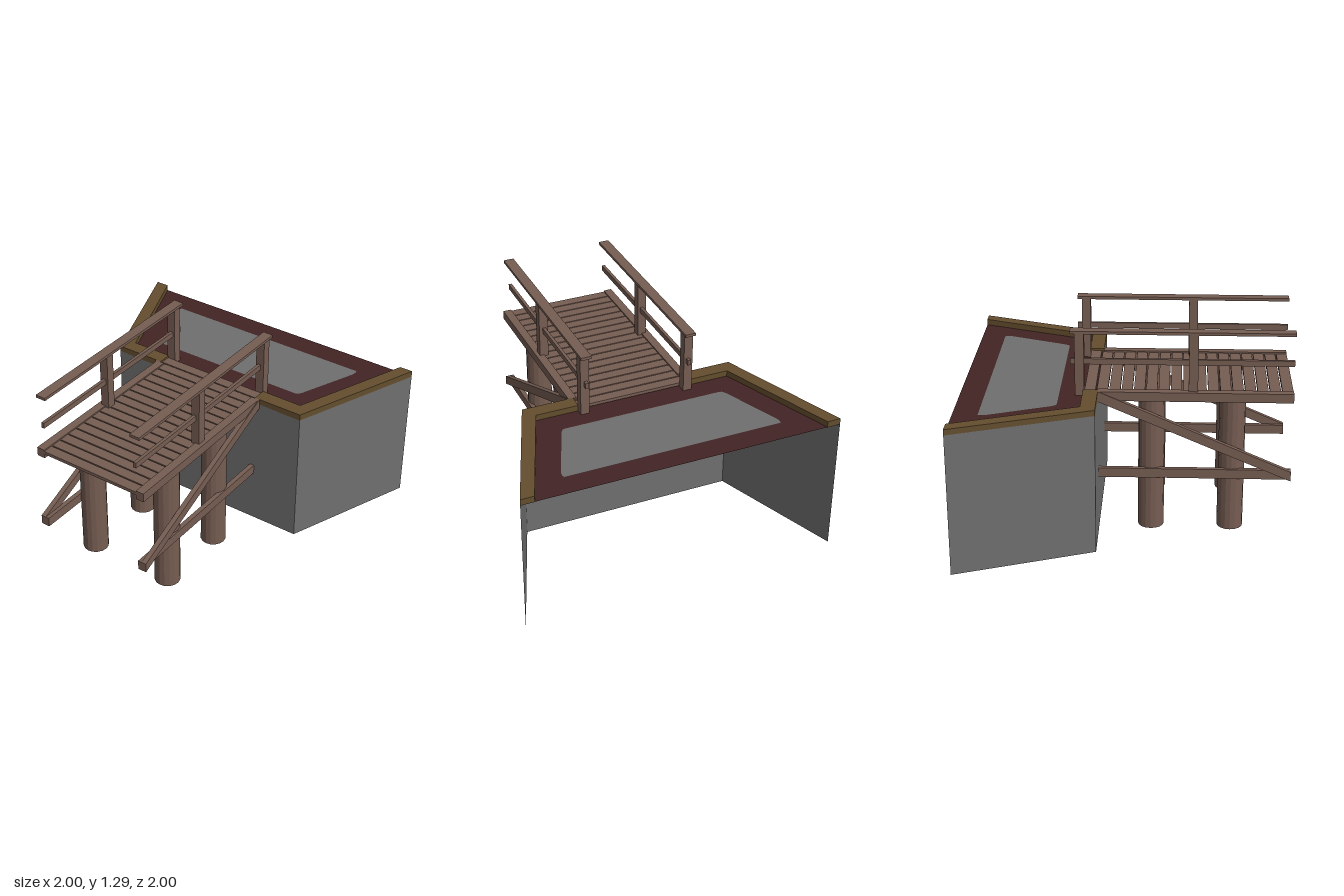
import * as THREE from 'three';

export function createModel() {
  const model = new THREE.Group();
  model.name = 'footbridgeAbutment';

  const material = (name, color, side = THREE.FrontSide) => {
    const m = new THREE.MeshStandardMaterial({ color, side });
    m.name = name;
    return m;
  };
  const wood = material('brownWood', 0x765d52);
  wood.flatShading = true;
  const concrete = material('greyConcrete', 0x6f6f6f, THREE.DoubleSide);
  const trim = material('ochreTrim', 0x644e2e);
  const floorRed = material('darkRedFloor', 0x432324, THREE.DoubleSide);

  const add = (name, geometry, mat) => {
    const mesh = new THREE.Mesh(geometry, mat);
    mesh.name = name;
    model.add(mesh);
    return mesh;
  };
  // Box given by its minimum and maximum on each axis
  const box = (name, x0, x1, y0, y1, z0, z1, mat = wood) => {
    const g = new THREE.BoxGeometry(x1 - x0, y1 - y0, Math.abs(z1 - z0));
    g.translate((x0 + x1) / 2, (y0 + y1) / 2, (z0 + z1) / 2);
    return add(name, g, mat);
  };
  const shapeOf = (points) => new THREE.Shape(points.map(([x, y]) => new THREE.Vector2(x, y)));
  // Flat plan outline (x, z) laid at height y
  const plate = (name, shape, y, mat) =>
    add(name, new THREE.ShapeGeometry(shape).rotateX(Math.PI / 2).translate(0, y, 0), mat);

  // Thin retaining walls, open on the +x side
  const plan = [[1, 1], [0.17, 0.685], [0.17, -0.685], [1, -1]];
  for (let i = 0; i < 3; i++) {
    const [ax, az] = plan[i];
    const [bx, bz] = plan[i + 1];
    const g = new THREE.PlaneGeometry(Math.hypot(bx - ax, bz - az), 0.885);
    g.rotateY(-Math.atan2(bz - az, bx - ax));
    g.translate((ax + bx) / 2, 0.4425, (az + bz) / 2);
    add('retainingWall', g, concrete);
  }

  // Dark floor with a pale panel set into it
  const half = [[0.405, 0.505], [0.41, 0.52], [0.43, 0.535], [0.8, 0.685], [0.83, 0.69], [0.85, 0.685]];
  const panel = [...half, ...half.map(([x, z]) => [x, -z]).reverse()];
  const floor = shapeOf(plan);
  floor.holes.push(shapeOf(panel));
  plate('floor', floor, 0.882, floorRed);
  plate('floorPanel', shapeOf(panel), 0.882, concrete);

  // Deck planks
  const pitch = 1.26 / 17;
  for (let i = 0; i < 17; i++) {
    const x = -1 + i * pitch;
    box('deckPlank', x, x + pitch - 0.008, 0.888, 0.908, -0.36, 0.36);
  }

  for (const s of [1, -1]) {
    // Raised trim on each half of the wall, with a gap for the deck
    const outline = shapeOf([
      [0.17, 0.36 * s], [0.17, 0.685 * s], [1, s], [1, 0.915 * s], [0.26, 0.63 * s], [0.26, 0.36 * s],
    ]);
    const rim = new THREE.ExtrudeGeometry(outline, { depth: 0.04, bevelEnabled: false });
    add('wallTrim', rim.rotateX(Math.PI / 2).translate(0, 0.92, 0), trim);

    // Round supports
    for (const x of [-0.64, -0.15]) {
      const g = new THREE.CylinderGeometry(0.08, 0.08, 0.885, 16);
      add('supportColumn', g.translate(x, 0.4425, 0.28 * s), wood);
    }

    // Deck edge beam and lower beam, the latter passing through the wall
    box('deckBeam', -1, 0.17, 0.86, 0.917, 0.335 * s, 0.388 * s);
    box('lowerBeam', -1, 0.23, 0.35, 0.41, 0.338 * s, 0.368 * s);

    // Diagonal brace with upright end cuts
    const brace = shapeOf([[-1, 0.35], [0.17, 0.855], [0.17, 0.92], [-1, 0.41]]);
    const braceGeo = new THREE.ExtrudeGeometry(brace, { depth: 0.032, bevelEnabled: false });
    add('diagonalBrace', braceGeo.translate(0, 0, s > 0 ? 0.362 : -0.394), wood);

    // Railing
    for (const x of [-0.4, 0.28]) {
      box('railingPost', x - 0.028, x + 0.028, 0.862, 1.275, 0.308 * s, 0.364 * s);
    }
    box('handrail', -1, 0.335, 1.272, 1.29, 0.302 * s, 0.368 * s);
    box('middleRail', -1, 0.335, 1.075, 1.11, 0.322 * s, 0.342 * s);
  }

  return model;
}
